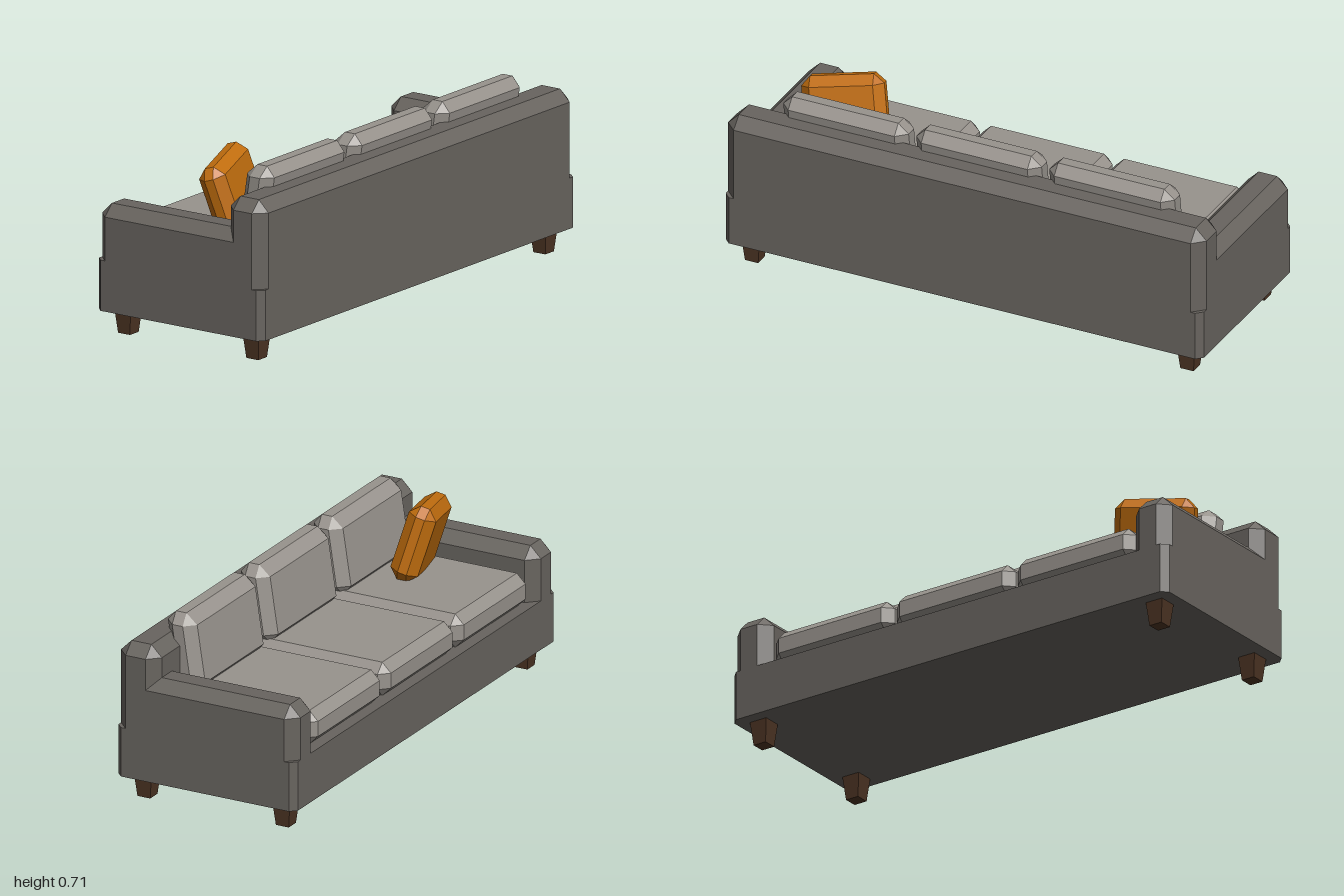
import * as THREE from 'three';
import { ConvexGeometry } from 'three/addons/geometries/ConvexGeometry.js';

// Box with cut corners and edges; flat top or bottom rims are left square on request
function chamferBox(w, h, d, c, { top = true, bottom = true } = {}) {
  const points = [];
  const x = w / 2, y = h / 2, z = d / 2;
  for (const sx of [-1, 1]) for (const sy of [-1, 1]) for (const sz of [-1, 1]) {
    const cut = sy > 0 ? top : bottom;
    const yc = cut ? y - c : y;
    points.push(new THREE.Vector3(sx * x, sy * yc, sz * (z - c)));
    points.push(new THREE.Vector3(sx * (x - c), sy * yc, sz * z));
    if (cut) points.push(new THREE.Vector3(sx * (x - c), sy * y, sz * (z - c)));
  }
  return new ConvexGeometry(points);
}

export function createModel() {
  const group = new THREE.Group();
  const material = (name, color) => {
    const m = new THREE.MeshStandardMaterial({ color, flatShading: true });
    m.name = name;
    return m;
  };
  const frameFabric = material('dark grey fabric', 0x68645f);
  const cushionFabric = material('light grey fabric', 0x98938d);
  const pillowFabric = material('orange fabric', 0xc06d0e);
  const wood = material('dark wood', 0x4e3524);

  const add = (name, geometry, mat, x, y, z) => {
    const mesh = new THREE.Mesh(geometry, mat);
    mesh.name = name;
    mesh.position.set(x, y, z);
    group.add(mesh);
    return mesh;
  };

  // Base, standing on four legs
  add('base', chamferBox(2, 0.197, 0.77, 0.025, { top: false, bottom: false }),
    frameFabric, 0, 0.1915, 0);

  // Backrest across the full width
  add('backrest', chamferBox(2, 0.34, 0.175, 0.045, { bottom: false }),
    frameFabric, 0, 0.46, 0.2975);

  // Arms and tapered square legs
  for (const side of [-1, 1]) {
    const label = side > 0 ? 'left' : 'right';
    add(label + 'Arm', chamferBox(0.167, 0.215, 0.725, 0.045, { bottom: false }),
      frameFabric, side * 0.9165, 0.3975, -0.0225);
    for (const end of [-1, 1]) {
      const leg = new THREE.CylinderGeometry(0.0375 * Math.SQRT2, 0.0275 * Math.SQRT2, 0.095, 4);
      leg.rotateY(Math.PI / 4);
      add(label + (end > 0 ? 'Back' : 'Front') + 'Leg', leg, wood, side * 0.91, 0.0475, end * 0.297);
    }
  }

  // Three seat cushions and three leaning back cushions
  for (const i of [-1, 0, 1]) {
    add('seatCushion', chamferBox(0.545, 0.135, 0.59, 0.037),
      cushionFabric, i * 0.556, 0.3545, -0.073);

    const back = chamferBox(0.524, 0.305, 0.125, 0.04);
    const p = back.attributes.position;
    for (let k = 0; k < p.count; k++) p.setZ(k, p.getZ(k) + 0.155 * p.getY(k));
    back.computeVertexNormals();
    add('backCushion', back, cushionFabric, i * 0.556, 0.5525, 0.203);
  }

  // Loose pillow, turned and tilted
  const pillow = add('pillow', chamferBox(0.32, 0.3, 0.11, 0.037), pillowFabric, -0.67, 0.543, 0.012);
  pillow.rotation.set(-0.28, 0.23, 0.15, 'YXZ');

  return group;
}
